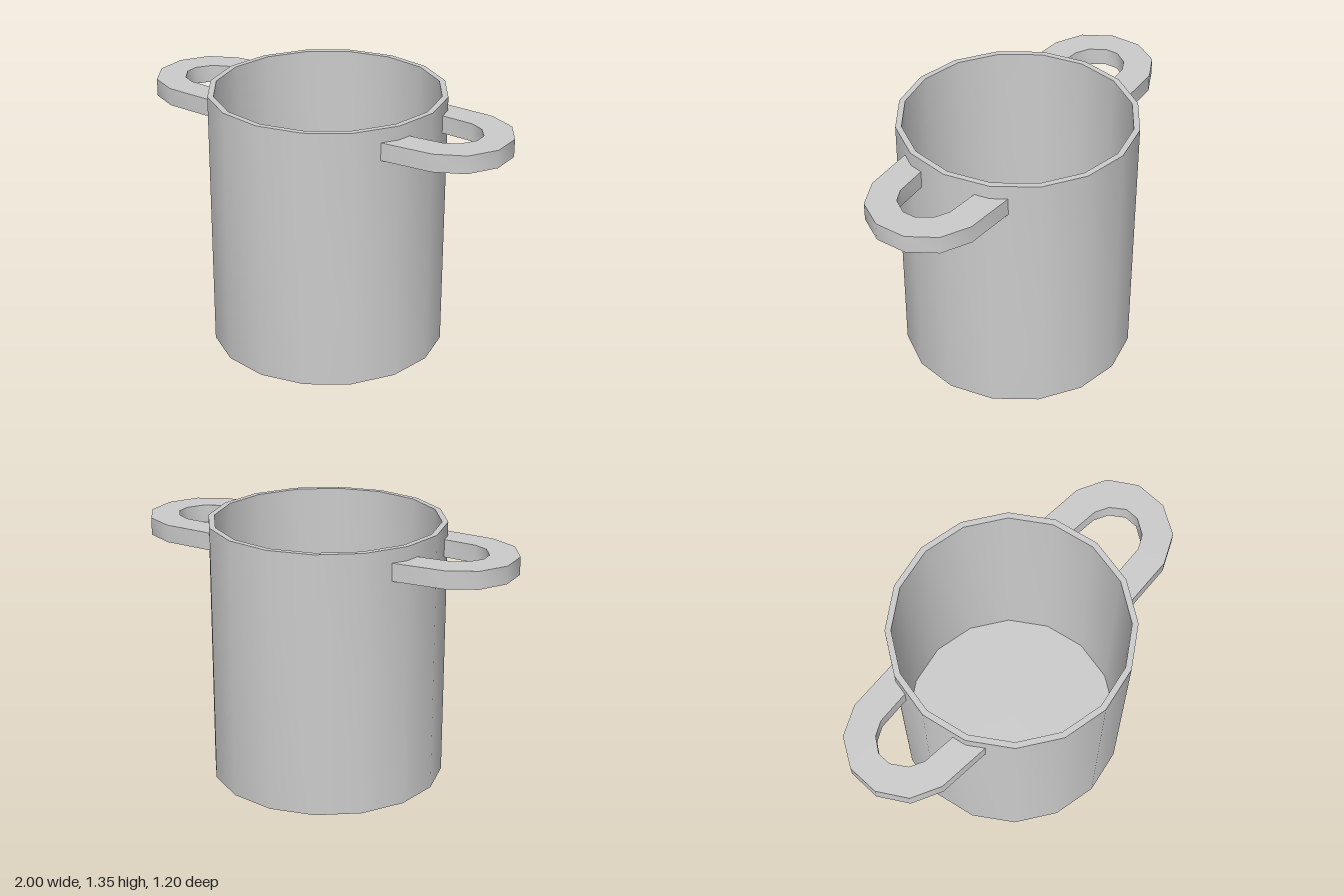
import * as THREE from 'three';
import { toCreasedNormals } from 'three/addons/utils/BufferGeometryUtils.js';

const CREASE = 0.7;
const material = new THREE.MeshStandardMaterial({ color: 0xcccccc });

function addPart(group, name, geometry) {
  const mesh = new THREE.Mesh(toCreasedNormals(geometry, CREASE), material);
  mesh.name = name;
  group.add(mesh);
}

// Hollow 16-sided pot: underside, outer wall, rim, inner wall, floor
function potGeometry() {
  const height = 1.345, outer = 0.6, inner = 0.57, floor = 0.03;
  const profile = [
    [0, 0], [outer, 0], [outer, height],
    [inner, height], [inner, floor], [0, floor],
  ].map(([x, y]) => new THREE.Vector2(x, y));
  return new THREE.LatheGeometry(profile, 16);
}

// Flat U-shaped handle whose ends sink into the wall; side is +1 or -1
function handleGeometry(side) {
  const top = 1.275, thickness = 0.09;
  const outline = [
    [0.5, -0.3], [0.77, -0.285], [0.915, -0.215], [1, -0.08],
    [1, 0.08], [0.915, 0.22], [0.77, 0.29], [0.5, 0.307],
    [0.56, 0.16], [0.74, 0.147], [0.81, 0.112], [0.86, 0.035],
    [0.86, -0.035], [0.81, -0.105], [0.74, -0.14], [0.56, -0.152],
  ].map(([x, z]) => new THREE.Vector2(x * side, z));
  const geometry = new THREE.ExtrudeGeometry(new THREE.Shape(outline), {
    depth: thickness, bevelEnabled: false,
  });
  return geometry.rotateX(Math.PI / 2).translate(0, top, 0);
}

export function createModel() {
  const model = new THREE.Group();
  model.name = 'cookingPot';
  addPart(model, 'potBody', potGeometry());
  addPart(model, 'leftHandle', handleGeometry(1));
  addPart(model, 'rightHandle', handleGeometry(-1));
  return model;
}
